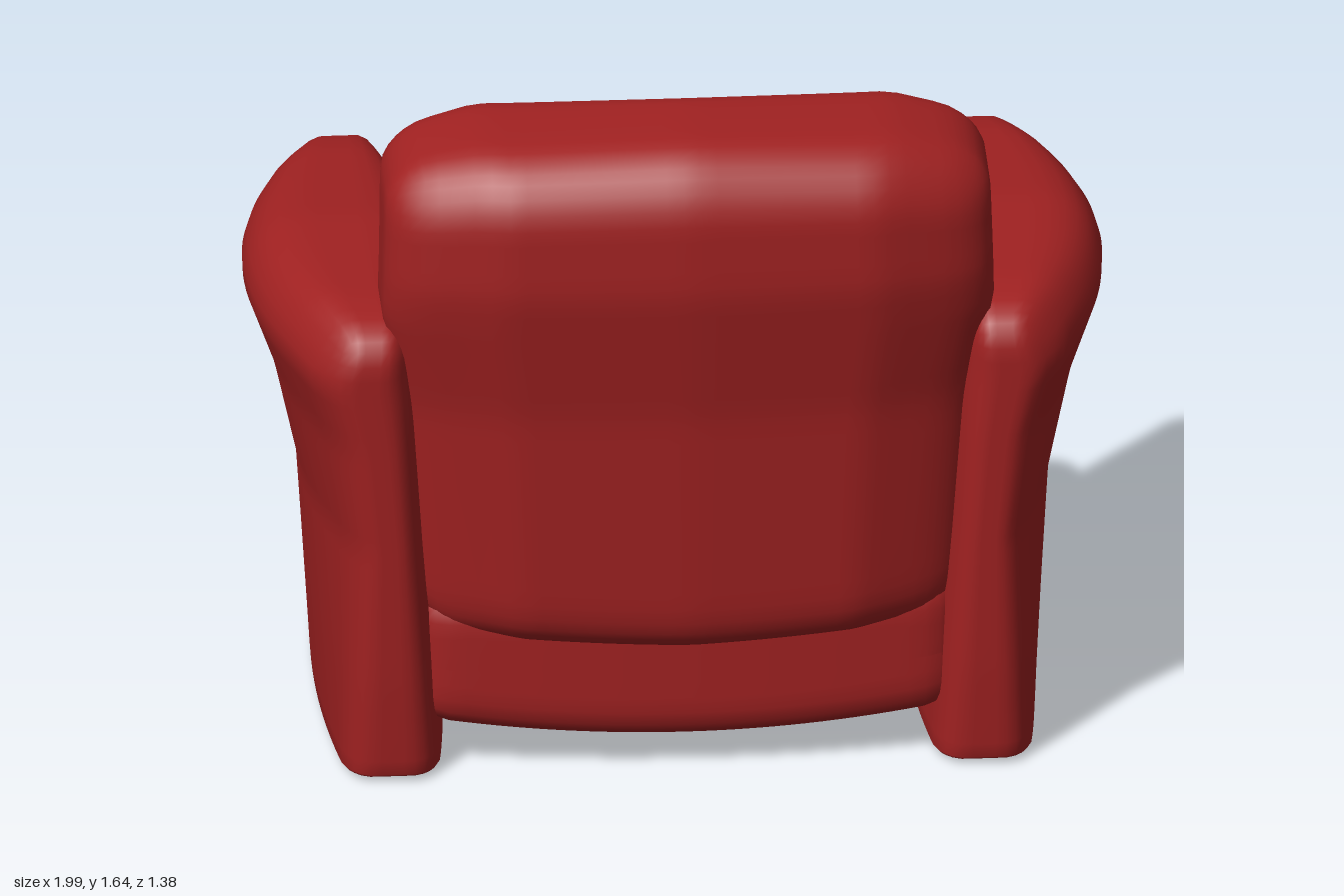
import * as THREE from 'three';
import { mergeVertices } from 'three/addons/utils/BufferGeometryUtils.js';

const red = new THREE.MeshStandardMaterial({ color: 0xa02121 });
red.name = 'red upholstery';

// straight-line lookup in a short list of [position, value] pairs
function at(table, t) {
  if (t <= table[0][0]) return table[0][1];
  for (let i = 1; i < table.length; i++) {
    const [a, va] = table[i - 1], [b, vb] = table[i];
    if (t <= b) return va + (vb - va) * (t - a) / (b - a);
  }
  return table[table.length - 1][1];
}
const mix = THREE.MathUtils.lerp;

// finely divided rounded block, bent into shape by a rule on each point
function padded(name, w, h, d, r, rule) {
  const n = (s) => Math.ceil(s / 0.04);
  let geo = new THREE.BoxGeometry(w, h, d, n(w), n(h), n(d));
  geo.deleteAttribute('uv');
  geo.deleteAttribute('normal');
  geo = mergeVertices(geo);
  const pos = geo.attributes.position;
  const inner = new THREE.Vector3(w / 2 - r, h / 2 - r, d / 2 - r);
  const low = inner.clone().negate();
  const p = new THREE.Vector3(), core = new THREE.Vector3();
  for (let i = 0; i < pos.count; i++) {
    p.fromBufferAttribute(pos, i);
    core.copy(p).clamp(low, inner);
    p.sub(core).setLength(r).add(core);
    rule(p);
    pos.setXYZ(i, p.x, p.y, p.z);
  }
  geo.computeVertexNormals();
  const mesh = new THREE.Mesh(geo, red);
  mesh.name = name;
  return mesh;
}

// flared armrest, lens shaped in plan and fullest near the top
function arm(name, side) {
  const inside = [[0, 0.54], [0.6, 0.57], [1.06, 0.585], [1.2, 0.59]];
  const outside = [[0, 0.83], [0.6, 0.87], [0.87, 0.93], [1.06, 1.0], [1.2, 0.96]];
  const squareFoot = [[0, 0], [0.1, 0.025], [0.25, 0.25], [1.2, 1.2]];
  return padded(name, 0.32, 1.2, 1.16, 0.09, (p) => {
    const y = at(squareFoot, p.y + 0.6);
    const t = p.z / 0.58, u = side * p.x / 0.32 + 0.5;
    const xi = at(inside, y) + mix(0.04, 0.075, y / 1.2) * t * t;
    const xo = at(outside, y) - mix(0.04, 0.18, y / 1.2) * t * t;
    const topDrop = at([[0, 0], [0.4, 0.018], [0.58, 0.05]], Math.abs(p.z));
    p.x = side * mix(xi, xo, u);
    p.z = -0.02 + t * at([[0, 0.545], [0.25, 0.56], [1.1, 0.585]], y);
    p.y = y - topDrop * (y / 1.2) ** 2;
  });
}

// reclined backrest: crowned top, bowed rear, hollow front
function backrest() {
  const half = [[0.33, 0.625], [0.9, 0.66], [1.2, 0.71], [1.645, 0.7]];
  const front = [[0.33, 0.25], [1.2, 0.27], [1.33, 0.265], [1.53, 0.22], [1.645, 0.225]];
  const rear = [[0.33, 0.59], [0.95, 0.63], [1.3, 0.69], [1.5, 0.685], [1.645, 0.64]];
  const hollow = [[0, 0.055], [0.48, 0], [0.7, 0.03]];
  const rearBow = [[0, 0], [0.43, 0.025], [0.7, 0.12]];
  const crown = [[0, 0], [0.48, 0.022], [0.7, 0.08]];
  return padded('backrest', 1.4, 1.315, 0.44, 0.11, (p) => {
    const y = p.y + 0.9875, x = Math.abs(p.x), s = p.x / 0.7;
    const w = p.z / 0.44 + 0.5, up = (y - 0.33) / 1.315;
    const f = at(front, y) + at(hollow, x);
    const b = at(rear, y) - at(rearBow, x);
    p.x = s * at(half, y);
    p.z = mix(f, b, w);
    p.y = y + 0.04 * s * s * (1 - up) - (at(crown, x) + 0.03 * w * w) * up ** 3;
  });
}

// seat cushion with a crowned top and bowed front edge
function seatCushion() {
  return padded('seatCushion', 1.32, 0.425, 1.05, 0.08, (p) => {
    const s = p.x / 0.66, forward = 0.5 - p.z / 1.05;
    p.z += -0.165 + 0.05 * s * s * forward;
    p.y += 0.583 + (p.y > 0 ? -0.035 : 0.015) * s * s;
  });
}

// base under the cushion, bellied downward and bowed at both ends
function seatBase() {
  return padded('seatBase', 1.26, 0.38, 1.13, 0.08, (p) => {
    const s = p.x / 0.63, e = p.z / 0.565;
    p.y += 0.266 + (p.y < 0 ? 0.045 * s * s : 0);
    p.z += -0.045 - 0.04 * s * s * e;
  });
}

export function createModel() {
  const chair = new THREE.Group();
  chair.name = 'armchair';
  chair.add(arm('leftArm', 1), arm('rightArm', -1), backrest(), seatCushion(), seatBase());
  return chair;
}
